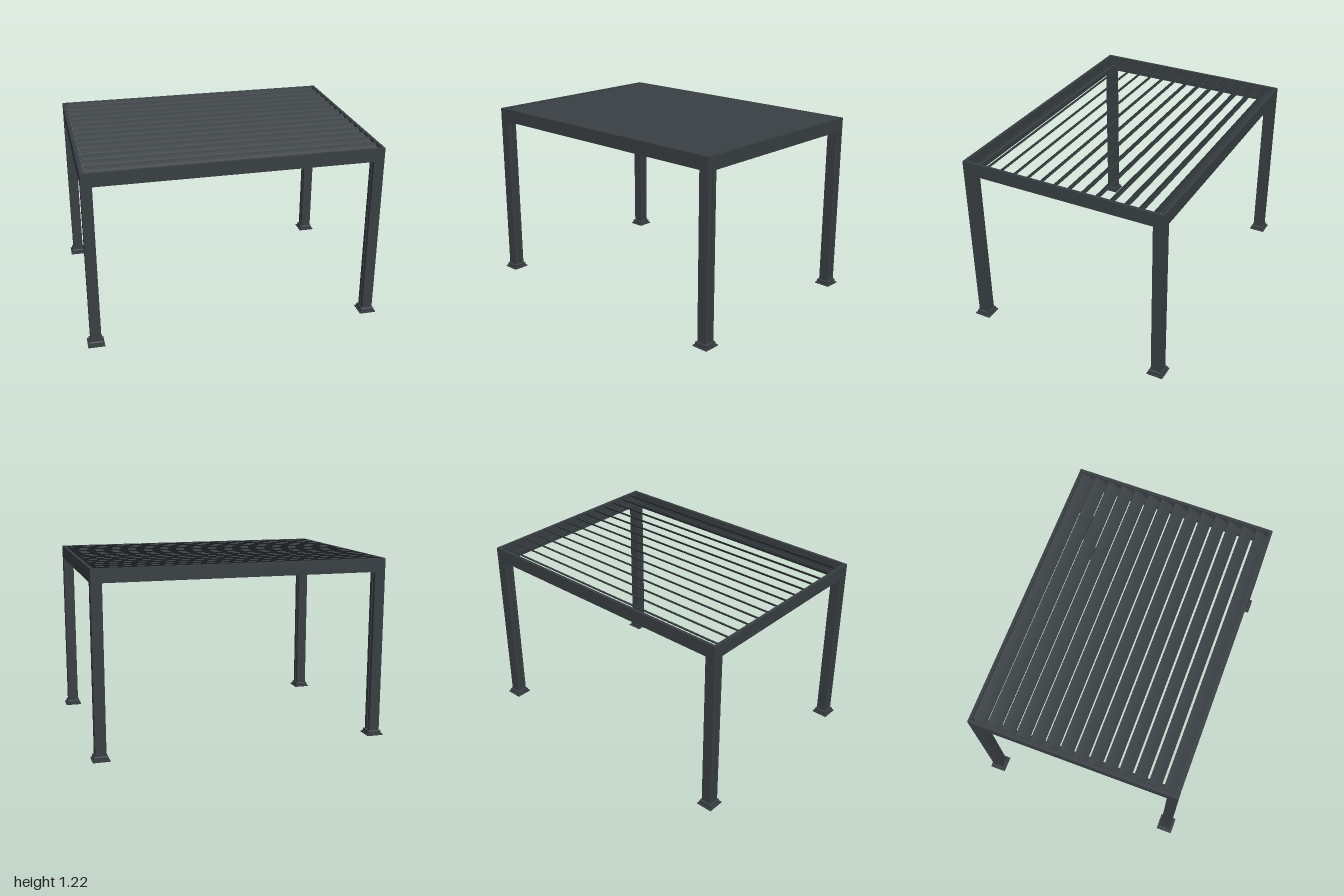
import * as THREE from 'three';

const material = new THREE.MeshStandardMaterial({ color: 0x383e42 });

function add(parent, name, geometry, x = 0, y = 0, z = 0) {
  const mesh = new THREE.Mesh(geometry, material);
  mesh.name = name;
  mesh.position.set(x, y, z);
  parent.add(mesh);
  return mesh;
}

// Extrudes a closed outline along z, centred on its length
function bar(points, length) {
  const shape = new THREE.Shape(points.map(([x, y]) => new THREE.Vector2(x, y)));
  const geometry = new THREE.ExtrudeGeometry(shape, { depth: length, bevelEnabled: false });
  return geometry.translate(0, 0, -length / 2);
}

const BEAM_BOTTOM = 1.125, BEAM_TOP = 1.215;
const HALF_X = 0.975, HALF_Z = 0.70, POST = 0.07;

// Square post with a narrow slot along the middle of each side face
function createPost() {
  const post = new THREE.Group();
  const h = POST / 2, s = 0.006, d = 0.008;
  const outline = [
    [-h, -h], [h, -h], [h, -s], [h - d, -s], [h - d, s], [h, s],
    [h, h], [-h, h], [-h, s], [-h + d, s], [-h + d, -s], [-h, -s],
  ];
  const height = BEAM_BOTTOM + 0.005;
  const shaft = bar(outline, height).rotateX(-Math.PI / 2);
  add(post, 'postShaft', shaft, 0, height / 2, 0);
  add(post, 'basePlate', new THREE.BoxGeometry(0.11, 0.008, 0.11), 0, 0.004, 0);
  add(post, 'baseCollar', new THREE.BoxGeometry(0.09, 0.02, 0.09), 0, 0.018, 0);
  // Sloped cap of the collar
  const cap = new THREE.CylinderGeometry(0.078 / Math.SQRT2, 0.09 / Math.SQRT2, 0.005, 4, 1);
  cap.rotateY(Math.PI / 4);
  const flatCap = cap.toNonIndexed();
  flatCap.computeVertexNormals();
  add(post, 'collarCap', flatCap, 0, 0.0305, 0);
  return post;
}

// Gutter beam: tall outer wall, floor and low inner lip; +x is the outside
function createBeam(length) {
  const h = POST / 2, H = BEAM_TOP - BEAM_BOTTOM;
  return bar([
    [-h, 0], [h, 0], [h, H], [h - 0.02, H], [h - 0.02, 0.012],
    [-h + 0.008, 0.012], [-h + 0.008, 0.035], [-h, 0.035],
  ], length);
}

// Tilted louvre blade with a thin lens section, high at the back
function createBlade(length) {
  const w = 0.049, t = 0.006;
  const shape = new THREE.Shape();
  shape.moveTo(-w, -0.001);
  shape.quadraticCurveTo(0, -2 * t + 0.001, w, -0.001);
  shape.lineTo(w, 0.001);
  shape.quadraticCurveTo(0, 2 * t - 0.001, -w, 0.001);
  shape.closePath();
  const geometry = new THREE.ExtrudeGeometry(shape, { depth: length, bevelEnabled: false, curveSegments: 6 });
  geometry.translate(0, 0, -length / 2);
  geometry.rotateZ(Math.atan2(0.058, 0.08));
  return geometry.rotateY(Math.PI / 2);
}

export function createModel() {
  const model = new THREE.Group();
  model.name = 'louvredPergola';

  // Posts
  for (const sx of [-1, 1]) for (const sz of [-1, 1]) {
    const post = createPost();
    post.name = `${sz > 0 ? 'front' : 'back'}${sx > 0 ? 'Left' : 'Right'}Post`;
    post.position.set(sx * (HALF_X - POST / 2), 0, sz * (HALF_Z - POST / 2));
    model.add(post);
  }

  // Frame beams
  const sideBeam = createBeam(2 * HALF_Z - 0.04);
  const longBeam = createBeam(2 * HALF_X);
  for (const s of [-1, 1]) {
    const side = add(model, s > 0 ? 'leftBeam' : 'rightBeam', sideBeam, s * (HALF_X - POST / 2), BEAM_BOTTOM, 0);
    side.rotation.y = s > 0 ? 0 : Math.PI;
    const long = add(model, s > 0 ? 'frontBeam' : 'backBeam', longBeam, 0, BEAM_BOTTOM, s * (HALF_Z - POST / 2));
    long.rotation.y = -s * Math.PI / 2;
  }

  // Louvre blades on pivot pins
  const louvres = new THREE.Group();
  louvres.name = 'louvres';
  model.add(louvres);
  const blade = createBlade(1.89);
  const pin = new THREE.CylinderGeometry(0.006, 0.006, 0.02, 10).rotateZ(Math.PI / 2);
  const count = 14, span = 0.633;
  for (let i = 0; i < count; i++) {
    const z = span - (2 * span * i) / (count - 1);
    add(louvres, 'louvreBlade', blade, 0, 1.193, z);
    for (const s of [-1, 1]) add(louvres, 'pivotPin', pin, s * 0.95, 1.193, z);
  }
  return model;
}
